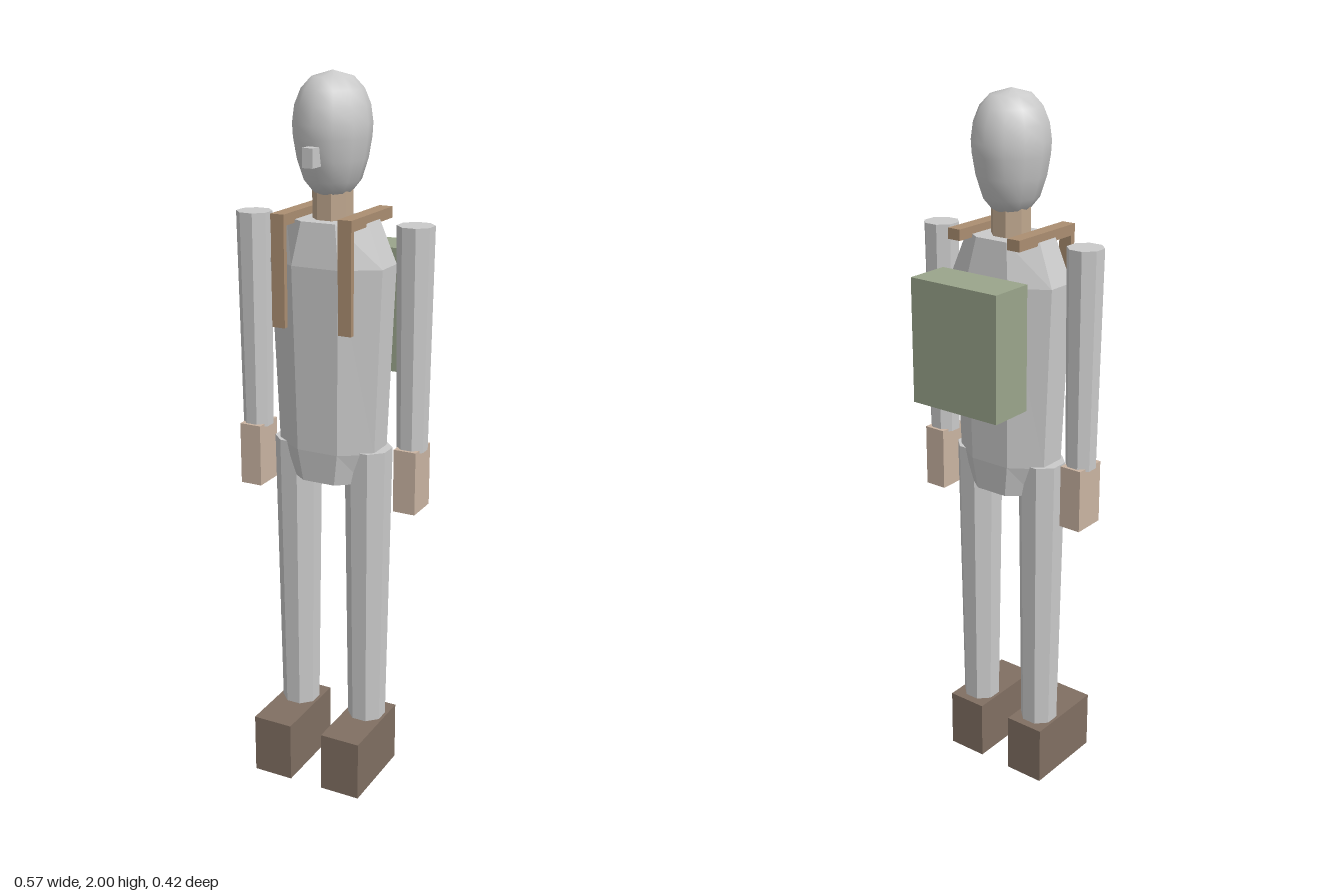
import * as THREE from 'three';

const material = (name, color) => {
  const m = new THREE.MeshStandardMaterial({ color });
  m.name = name;
  return m;
};

export function createModel() {
  const grey = material('pale grey', 0xcacaca);
  const skin = material('skin', 0xcab4a2);
  const neckTan = material('neck tan', 0xbfa78e);
  const leather = material('strap leather', 0xab8e71);
  const canvas = material('green canvas', 0x9aa58b);
  const boot = material('boot brown', 0x806f62);

  const group = new THREE.Group();
  const midZ = 0.034; // depth of the body's axis

  const add = (name, geometry, mat) => {
    const mesh = new THREE.Mesh(geometry, mat);
    mesh.name = name;
    group.add(mesh);
    return mesh;
  };

  // Box given by its limits on each axis
  const box = (name, [x0, x1], [y0, y1], [z0, z1], mat) =>
    add(name, new THREE.BoxGeometry(x1 - x0, y1 - y0, z1 - z0), mat)
      .position.set((x0 + x1) / 2, (y0 + y1) / 2, (z0 + z1) / 2);

  // Faceted eight-sided tube with flats facing the axes, closed at both ends;
  // rings are [half width, y, half depth]
  const octagon = (name, x, rings, mat) => {
    const k = 1 / Math.cos(Math.PI / 8);
    const closed = [[0, rings[0][1], 0], ...rings, [0, rings[rings.length - 1][1], 0]];
    const lathe = new THREE.LatheGeometry(closed.map(([, y], i) => new THREE.Vector2(i, y)), 8, Math.PI / 8);
    const p = lathe.attributes.position;
    for (let i = 0; i < p.count; i++) {
      const ring = i % closed.length;
      const phi = Math.PI / 8 + Math.floor(i / closed.length) * Math.PI / 4;
      p.setX(i, Math.sin(phi) * closed[ring][0] * k);
      p.setZ(i, Math.cos(phi) * closed[ring][2] * k);
    }
    const flat = lathe.toNonIndexed();
    flat.computeVertexNormals();
    add(name, flat, mat).position.set(x, 0, midZ);
  };

  // Head: smooth egg, a little deeper than wide
  const profile = [[0, 1.69], [0.048, 1.692], [0.074, 1.725], [0.091, 1.78], [0.1, 1.835], [0.102, 1.87],
    [0.096, 1.915], [0.08, 1.955], [0.053, 1.985], [0, 2]];
  const head = new THREE.LatheGeometry(profile.map(([r, y]) => new THREE.Vector2(r, y)), 12);
  add('head', head.scale(1, 1, 1.1), grey).position.z = midZ;
  box('nose', [-0.015, 0.015], [1.77, 1.82], [0.12, 0.172], grey);

  // Neck and torso
  octagon('neck', 0, [[0.05, 1.6, 0.05], [0.05, 1.7, 0.05]], neckTan);
  octagon('torso', 0, [[0.115, 0.91, 0.088], [0.145, 1, 0.095], [0.166, 1.51, 0.104], [0.12, 1.625, 0.085]], grey);

  // Limbs and boots on both sides
  for (const [side, s] of [['left', 1], ['right', -1]]) {
    const span = (a, b) => (s > 0 ? [a, b] : [-b, -a]);
    octagon(side + 'Arm', s * 0.239, [[0.039, 1.02, 0.039], [0.046, 1.625, 0.046]], grey);
    box(side + 'Hand', span(0.207, 0.271), [0.85, 1.028], [-0.014, 0.082], skin);
    octagon(side + 'Leg', s * 0.109, [[0.05, 0.16, 0.05], [0.061, 1.005, 0.061]], grey);
    box(side + 'Boot', span(0.05, 0.168), [0, 0.175], [-0.04, 0.209], boot);
    // Pack straps: over the shoulder, then down the chest
    box(side + 'ShoulderStrap', span(0.078, 0.117), [1.616, 1.646], [-0.084, 0.159], leather);
    box(side + 'ChestStrap', span(0.0785, 0.1165), [1.345, 1.645], [0.143, 0.1585], leather);
  }

  // Backpack
  box('backpack', [-0.14, 0.14], [1.192, 1.536], [-0.209, -0.08], canvas);

  return group;
}
